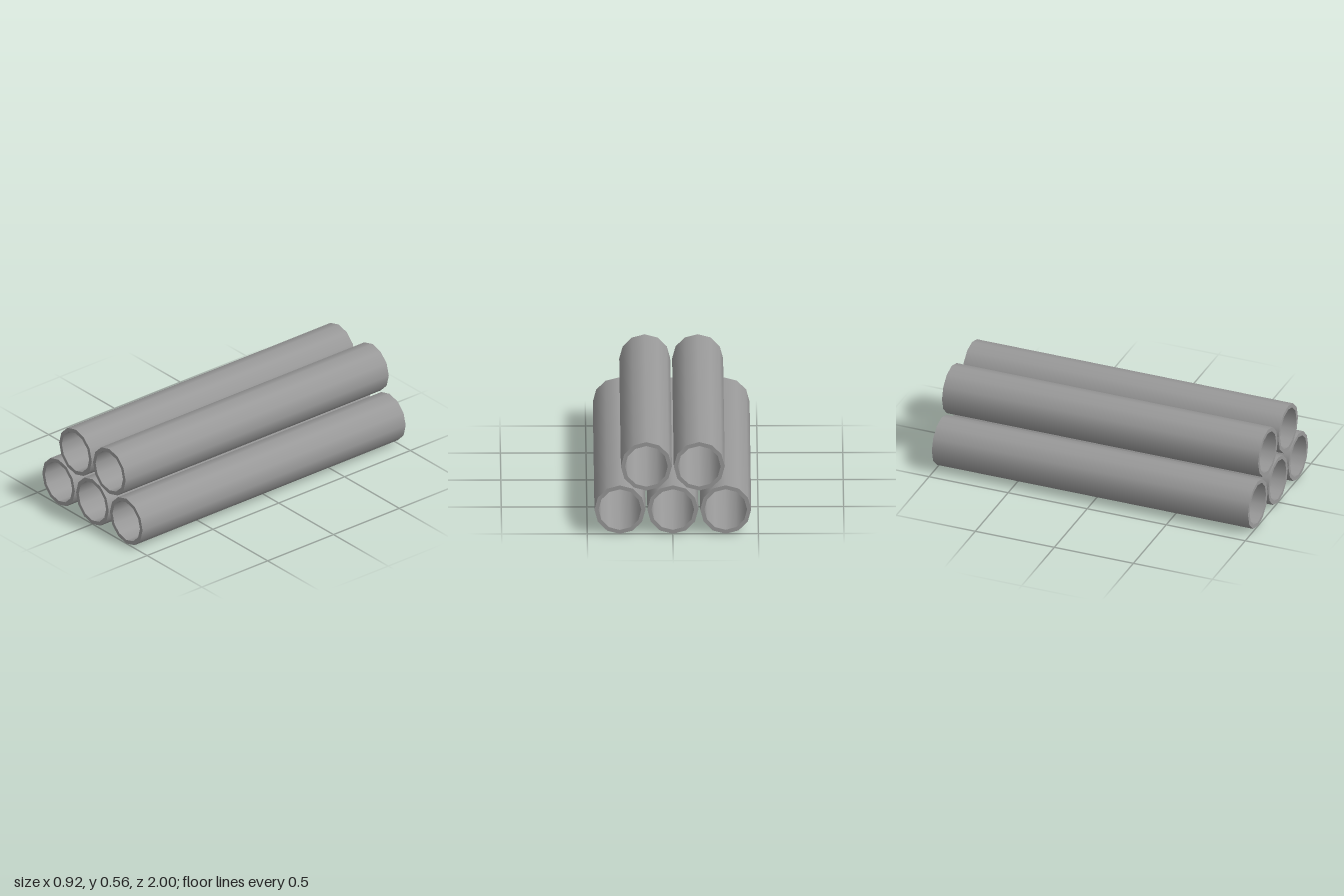
import * as THREE from 'three';
import { mergeGeometries } from 'three/addons/utils/BufferGeometryUtils.js';

const SIDES = 12, OUTER = 0.149, INNER = 0.125, HALF = 1;

// Hollow pipe along z: each profile edge is its own lathe, so rims stay sharp and walls smooth
function pipeGeometry() {
  const profile = [[OUTER, -HALF], [OUTER, HALF], [INNER, HALF], [INNER, -HALF]]
    .map(([r, y]) => new THREE.Vector2(r, y));
  const bands = profile.map((p, i) =>
    new THREE.LatheGeometry([p, profile[(i + 1) % profile.length]], SIDES));
  return mergeGeometries(bands).rotateX(Math.PI / 2);
}

export function createModel() {
  const group = new THREE.Group();
  group.name = 'pipeStack';
  const steel = new THREE.MeshStandardMaterial({ color: 0x999999 });
  steel.name = 'grey steel';
  const geometry = pipeGeometry();

  // Three pipes below, two resting in the gaps above
  const rows = [
    { name: 'bottomPipe', count: 3, y: 0.15 },
    { name: 'topPipe', count: 2, y: 0.416 },
  ];
  const spacing = 0.309;
  for (const { name, count, y } of rows) {
    for (let i = 0; i < count; i++) {
      const pipe = new THREE.Mesh(geometry, steel);
      pipe.name = name + (i + 1);
      pipe.position.set((i - (count - 1) / 2) * spacing, y, 0);
      group.add(pipe);
    }
  }
  return group;
}
